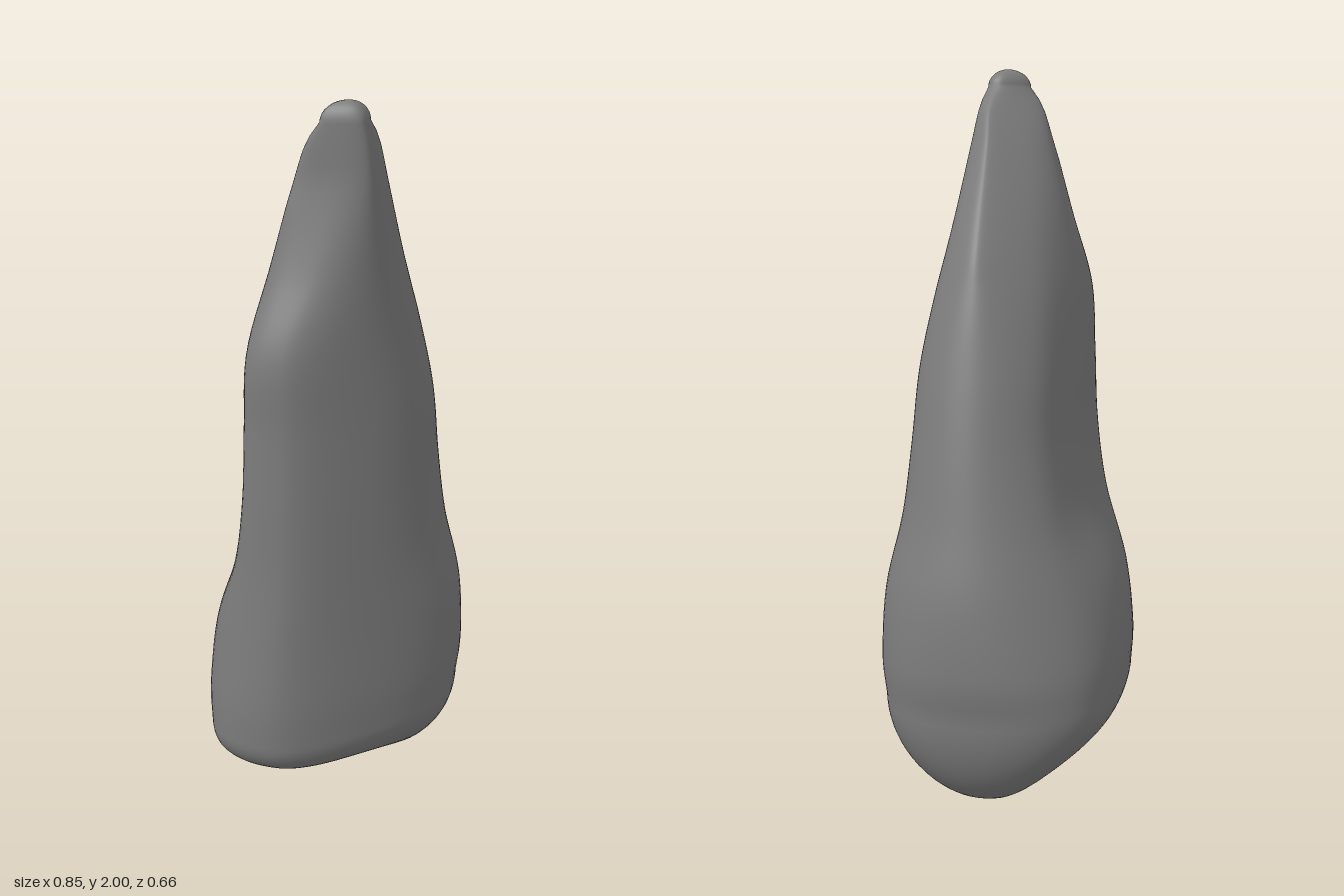
import * as THREE from 'three';

// Each row: height, then how far the section reaches in eight directions,
// every 45 degrees from +x round through +z, -x and -z.
const LEVELS = [
  [0.30, 0.415, 0.370, 0.325, 0.430, 0.425, 0.285, 0.330, 0.360],
  [0.40, 0.425, 0.380, 0.330, 0.435, 0.425, 0.290, 0.325, 0.375],
  [0.60, 0.408, 0.370, 0.330, 0.430, 0.405, 0.265, 0.280, 0.360],
  [0.80, 0.357, 0.328, 0.330, 0.425, 0.382, 0.195, 0.222, 0.315],
  [1.00, 0.320, 0.305, 0.330, 0.425, 0.372, 0.160, 0.172, 0.270],
  [1.20, 0.280, 0.290, 0.328, 0.425, 0.366, 0.150, 0.130, 0.220],
  [1.40, 0.220, 0.255, 0.327, 0.425, 0.360, 0.135, 0.070, 0.160],
  [1.60, 0.140, 0.215, 0.326, 0.360, 0.282, 0.085, -0.018, 0.078],
  [1.80, 0.045, 0.187, 0.326, 0.318, 0.232, 0.025, -0.125, -0.065],
  [1.90, -0.005, 0.172, 0.324, 0.315, 0.208, -0.010, -0.190, -0.150],
  [1.95, -0.050, 0.158, 0.320, 0.315, 0.185, -0.045, -0.222, -0.210],
];
const STEPS = 10;            // points per eighth of a section
const N = STEPS * 8;
const Y0 = 0.3, Y1 = 1.95;

// Smooth interpolation of the rows
function reachAt(y) {
  let i = 0;
  while (i < LEVELS.length - 2 && y > LEVELS[i + 1][0]) i++;
  const row = (k) => LEVELS[Math.min(Math.max(k, 0), LEVELS.length - 1)];
  const [p, a, b, q] = [row(i - 1), row(i), row(i + 1), row(i + 2)];
  const h = b[0] - a[0], t = (y - a[0]) / h;
  return a.slice(1).map((_, k) => {
    const c = k + 1;
    const ma = (b[c] - p[c]) / (b[0] - p[0]) * h, mb = (q[c] - a[c]) / (q[0] - a[0]) * h;
    return (2 * t ** 3 - 3 * t * t + 1) * a[c] + (t ** 3 - 2 * t * t + t) * ma
      + (3 * t * t - 2 * t ** 3) * b[c] + (t ** 3 - t * t) * mb;
  });
}

// Rounded outline touching all eight reaches, with a shallow groove down the back of the root
function section(y) {
  const raw = reachAt(y);
  // Every side of the octagon keeps some length, so that no corner turns sharp
  const h = raw.map((r, k) => Math.min(r,
    (raw[(k + 7) % 8] + raw[(k + 1) % 8]) / Math.SQRT2 - 0.05 * (r + raw[(k + 4) % 8])));
  const corners = h.map((c, k) => {
    const a = (k * Math.PI) / 4;
    const s = h[(k + 1) % 8] * Math.SQRT2 - c;
    return new THREE.Vector2(c * Math.cos(a) - s * Math.sin(a), c * Math.sin(a) + s * Math.cos(a));
  });
  const depth = THREE.MathUtils.smoothstep(y, 0.4, 0.85) * (1 - THREE.MathUtils.smoothstep(y, 1.3, 1.75));
  const points = [];
  for (let k = 0; k < 8; k++) {
    const mid = corners[(k + 7) % 8].clone().lerp(corners[k], 0.5);
    const next = corners[k].clone().lerp(corners[(k + 1) % 8], 0.5);
    const curve = new THREE.QuadraticBezierCurve(mid, corners[k], next);
    for (let j = 0; j < STEPS; j++) {
      const p = curve.getPoint(j / STEPS), u = k + j / STEPS;
      const groove = 0.022 * depth * Math.exp(-(((u - 5.45) / 0.45) ** 2));
      points.push(p.addScalar(groove * Math.SQRT1_2));
    }
  }
  return points;
}

// Biting edge: a level floor dipping to one broad cusp
function floorAt(x, z) {
  const dx = (x - 0.18) / (x < 0.18 ? 0.17 : 0.3), dz = (z + 0.07) / 0.27;
  return 0.16 - 0.16 * Math.exp(-dx * dx - dz * dz);
}

function toothGeometry() {
  const rings = [];
  // Blunt underside of the crown, from the middle outwards
  const base = section(Y0);
  for (let i = 0; i < 22; i++) {
    const s = 1 - (1 - i / 22) ** 2, drop = Math.sqrt(1 - s ** 5);
    rings.push(base.map((p) => {
      const x = 0.02 + (p.x - 0.02) * s, z = p.y * s;
      return [x, Y0 - (Y0 - floorAt(x, z)) * drop, z];
    }));
  }
  // Crown sides and root
  for (let i = 0; i <= 50; i++) {
    const y = Y0 + (Y1 - Y0) * i / 50;
    rings.push(section(y).map((p) => [p.x, y, p.y]));
  }
  // Rounded root tip
  const top = section(Y1);
  for (let i = 1; i <= 8; i++) {
    const a = (i / 8) * Math.PI / 2, s = i === 8 ? 0 : Math.cos(a);
    rings.push(top.map((p) => [-0.12 + (p.x + 0.12) * s, Y1 + 0.05 * Math.sin(a), 0.272 + (p.y - 0.272) * s]));
  }
  const index = [];
  for (let r = 0; r < rings.length - 1; r++) {
    for (let j = 0; j < N; j++) {
      const a = r * N + j, b = r * N + (j + 1) % N;
      if (r === 0) {
        index.push(a, a + N, b + N);
      } else {
        index.push(a, a + N, b);
        if (r < rings.length - 2) index.push(b, a + N, b + N);
      }
    }
  }
  const geometry = new THREE.BufferGeometry();
  geometry.setAttribute('position', new THREE.Float32BufferAttribute(rings.flat(2), 3));
  geometry.setIndex(index);
  geometry.computeVertexNormals();
  return geometry;
}

export function createModel() {
  const group = new THREE.Group();
  group.name = 'tooth';
  const tooth = new THREE.Mesh(toothGeometry(), new THREE.MeshStandardMaterial({ color: 0x7c7c7c }));
  tooth.name = 'crownAndRoot';
  group.add(tooth);
  return group;
}
